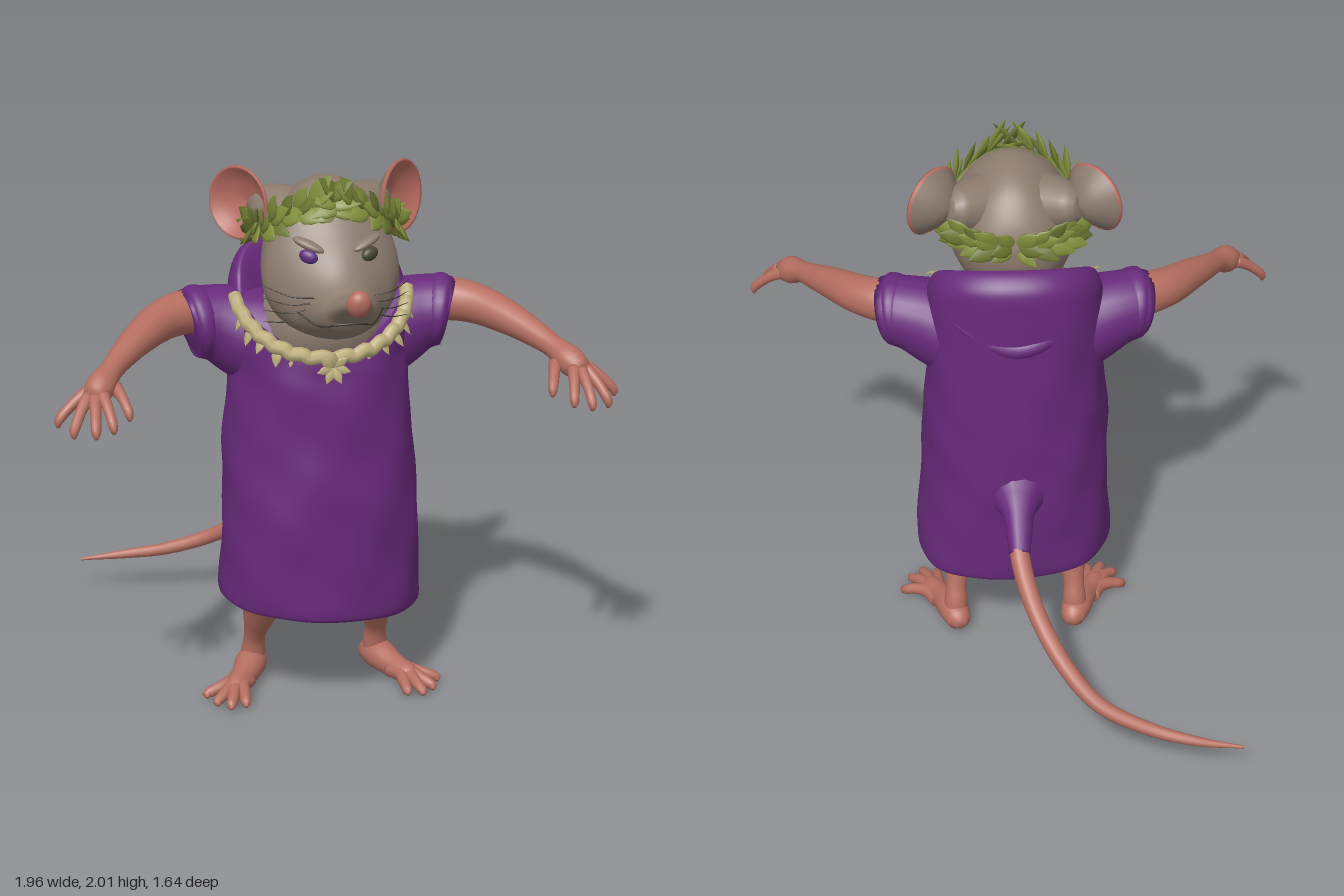
import * as THREE from 'three';

const V = (x, y, z) => new THREE.Vector3(x, y, z);
const mat = (name, color, double) => {
  const m = new THREE.MeshStandardMaterial({ color });
  m.name = name;
  if (double) m.side = THREE.DoubleSide;
  return m;
};

// Smooth interpolation through rows of numbers, t from 0 to 1
function sample(rows, t) {
  const n = rows.length - 1, f = Math.min(t * n, n - 1e-6), i = Math.floor(f), u = f - i;
  const at = k => rows[Math.max(0, Math.min(n, k))];
  return rows[0].map((_, c) => {
    const [a, b, d, e] = [at(i - 1)[c], at(i)[c], at(i + 1)[c], at(i + 2)[c]];
    return b + 0.5 * u * (d - a + u * (2 * a - 5 * b + 4 * d - e + u * (3 * (b - d) + e - a)));
  });
}

// Skin over equal rings of points, optionally closed at either end
function loft(rings, capStart, capEnd) {
  const n = rings[0].length, pos = [], idx = [];
  rings.forEach(r => r.forEach(p => pos.push(p.x, p.y, p.z)));
  for (let i = 0; i < rings.length - 1; i++) for (let j = 0; j < n; j++) {
    const a = i * n + j, b = i * n + (j + 1) % n;
    idx.push(a, b, a + n, b, b + n, a + n);
  }
  const cap = (i, flip) => {
    const c = rings[i].reduce((s, p) => s.add(p), V(0, 0, 0)).divideScalar(n), k = pos.length / 3;
    pos.push(c.x, c.y, c.z);
    for (let j = 0; j < n; j++) {
      const a = i * n + j, b = i * n + (j + 1) % n;
      flip ? idx.push(k, b, a) : idx.push(k, a, b);
    }
  };
  if (capStart) cap(0, true);
  if (capEnd) cap(rings.length - 1, false);
  const g = new THREE.BufferGeometry();
  g.setAttribute('position', new THREE.Float32BufferAttribute(pos, 3));
  g.setIndex(idx);
  g.computeVertexNormals();
  return g;
}

// Limb along points [x, y, z, radius]; s mirrors it in x
function limb(rows, s = 1, sides = 14, steps = 24, open = false) {
  const curve = new THREE.CatmullRomCurve3(rows.map(r => V(r[0] * s, r[1], r[2])));
  const fr = curve.computeFrenetFrames(steps);
  const ts = [...Array(steps + 1).keys()];
  const rings = ts.map(i => {
    const u = curve.getUtoTmapping(i / steps), c = curve.getPoint(u), r = sample(rows, u)[3];
    return [...Array(sides).keys()].map(j => {
      const a = j / sides * Math.PI * 2;
      return c.clone().addScaledVector(fr.normals[i], r * Math.cos(a)).addScaledVector(fr.binormals[i], r * Math.sin(a));
    });
  });
  return loft(rings, !open, !open);
}

// Robe rows: y, half width, front z, back z, collar rise
const ROBE = [[.36, .355, .455, -.10, 0], [.39, .366, .472, -.12, 0], [.55, .362, .478, -.13, 0], [.8, .348, .487, -.14, 0],
  [1.0, .34, .472, -.14, 0], [1.2, .324, .467, -.14, 0], [1.33, .322, .457, -.135, .04], [1.45, .322, .447, -.128, .10],
  [1.51, .313, .437, -.115, .15], [1.54, .288, .42, -.055, .17], [1.52, .255, .385, -.02, .16], [1.44, .19, .32, .05, .05]];
function robePoint(t, a) {
  const [y, rx, zf, zb, rise] = sample(ROBE, t), c = Math.cos(a), s = Math.sin(a);
  const box = v => Math.sign(v) * Math.pow(Math.abs(v), .9);
  const fade = Math.max(0, Math.min(1, (.72 - t) * 6));
  const k = 1 + fade * (.012 * Math.sin(3 * a + 6 * y) + .009 * Math.sin(8 * a - 11 * y) + .006 * Math.sin(5 * a + 23 * y));
  const x = rx * box(s) * k;
  return V(x, y + rise * (c > 0 ? -c : Math.pow(-c, .6)) - .07 * x * Math.max(0, 1 - t * 2),
    (zf + zb) / 2 + (zf - zb) / 2 * box(c) * k);
}

// Head rows: z, top y, bottom y, half width; the snout dips and turns slightly left
const HEAD = [[.05, 1.73, 1.66, .05], [.08, 1.82, 1.58, .13], [.15, 1.91, 1.50, .185], [.25, 1.96, 1.44, .215], [.35, 1.97, 1.42, .232],
  [.43, 1.92, 1.43, .234], [.5, 1.83, 1.44, .195], [.55, 1.75, 1.455, .148], [.6, 1.695, 1.475, .116], [.65, 1.663, 1.51, .094],
  [.68, 1.654, 1.55, .078], [.73, 1.665, 1.59, .058], [.77, 1.678, 1.615, .042]];
function headPoint(t, a) {
  const [z, top, bot, rx] = sample(HEAD, t), s = Math.sin(a);
  return V(rx * Math.cos(a) * (1 - .13 * s) + Math.max(0, z - .45) * .09, (top + bot) / 2 + (top - bot) / 2 * s, z);
}

export function createModel() {
  const root = new THREE.Group();
  root.name = 'ratInRobe';
  const robe = mat('purpleCloth', 0x682a7b, true), skin = mat('pinkSkin', 0xb56e60), fur = mat('greyFur', 0x8c7b6e, true);
  const green = mat('laurelGreen', 0x7f8c3a), olive = mat('darkLaurel', 0x69752f), cream = mat('creamTrim', 0xbcae7c);
  const dark = mat('darkHair', 0x3a332c), earPink = mat('earPink', 0xb56a60, true), violet = mat('violetEye', 0x5f2f80), hazel = mat('hazelEye', 0x4a4632);
  const add = (name, geo, m, parent = root) => {
    const mesh = new THREE.Mesh(geo, m);
    mesh.name = name;
    parent.add(mesh);
    return mesh;
  };
  const group = name => { const g = new THREE.Group(); g.name = name; root.add(g); return g; };
  const ball = (name, m, p, x, y, z) => {
    const b = add(name, new THREE.SphereGeometry(1, 24, 16), m);
    b.position.copy(p);
    b.scale.set(x, y, z);
    return b;
  };
  let seed = 7;
  const rand = () => (seed = (seed * 16807) % 2147483647) / 2147483647;

  // Robe with raised collar and draped hood
  const N = 72, R = 90;
  add('robe', loft([...Array(R + 1).keys()].map(i => [...Array(N).keys()].map(j => robePoint(i / R, j / N * Math.PI * 2))), false, true), robe);
  add('hoodFold', limb([[.28, 1.57, .06, .02], [.2, 1.5, -.04, .034], [0, 1.42, -.107, .034], [-.2, 1.5, -.04, .034], [-.28, 1.57, .06, .02]]), robe);

  // Neck and head
  ball('neck', fur, V(0, 1.42, .2), .235, .2, .205);
  add('head', loft([...Array(61).keys()].map(i => [...Array(40).keys()].map(j => headPoint(i / 60, j / 40 * Math.PI * 2))), true, true), fur);
  ball('nose', skin, V(.03, 1.645, .772), .043, .05, .036).rotation.x = .35;
  add('mouth', new THREE.TubeGeometry(new THREE.CatmullRomCurve3(
    [[.58, -.3], [.7, -.6], [.8, -1], [.83, -1.57], [.8, -2.14], [.7, -2.54], [.58, -2.84]].map(p => headPoint(...p))), 40, .004, 6), dark);

  // Leaf profile shared by wreath and trim
  const leafGeo = new THREE.LatheGeometry([[0, 0], [.014, .015], [.025, .045], [.02, .07], [0, .105]].map(p => new THREE.Vector2(...p)), 10);
  const leaf = (parent, m, p, dir, out, size) => {
    const y = dir.clone().normalize(), x = y.clone().cross(out).normalize(), z = x.clone().cross(y);
    const l = add('leaf', leafGeo, m, parent);
    l.quaternion.setFromRotationMatrix(new THREE.Matrix4().makeBasis(x, y, z));
    l.position.copy(p);
    l.scale.set(size * 1.15, size, size * .35);
  };

  // Laurel wreath, broad leaves pointing forward on both sides
  const wreath = group('laurelWreath');
  const ringPoint = a => V(.235 * Math.sin(a), 1.785 + (Math.cos(a) > 0 ? .125 * Math.cos(a) ** 2 : .045 * Math.cos(a)), .26 + .185 * Math.cos(a));
  const band = [...Array(24).keys()].map(i => ringPoint(i / 24 * Math.PI * 2));
  add('wreathStem', new THREE.TubeGeometry(new THREE.CatmullRomCurve3(band, true), 60, .015, 6, true), olive, wreath);
  for (const s of [-1, 1]) for (let i = 0; i < 15; i++) for (const lift of [-1, 0, 1]) {
    const a = s * (Math.PI - i / 14 * 3.0), p = ringPoint(a), out = p.clone().sub(V(0, 1.7, .25)).normalize();
    const front = Math.max(0, Math.cos(a));
    const dir = ringPoint(a - s * .1).sub(p).normalize().addScaledVector(V(0, 1, 0), lift * .75 - front * .2 + (rand() - .5) * .5)
      .addScaledVector(out, .2 + rand() * .4);
    leaf(wreath, (i + lift) % 3 ? green : olive, p.addScaledVector(out, .01), dir, out, .95 + front * .15 + rand() * .25);
  }

  // Ragged cream collar trim with a pendant
  const trim = group('collarTrim');
  const edge = a => robePoint(.775, a).add(V(Math.sin(a) * .008, .01 - .025 * Math.cos(a) ** 2, Math.cos(a) * .01));
  add('trimBand', new THREE.TubeGeometry(new THREE.CatmullRomCurve3([...Array(41).keys()].map(i =>
    edge((i / 40 - .5) * 2.9).add(V(0, .006 * Math.sin(i * 2.1), 0)))), 100, .026, 8), cream, trim);
  for (let i = 0; i < 15; i++) {
    const a = (i / 14 - .5) * 2.8, p = edge(a), out = V(Math.sin(a), .25, Math.cos(a)).normalize();
    leaf(trim, cream, p, V(Math.sin(a) * .5 + rand() * .4 - .2, -.8, .15), out, .5 + rand() * .2);
  }
  for (let i = 0; i < 7; i++) {
    const a = i / 7 * Math.PI * 2;
    leaf(trim, cream, V(0, 1.325, .468), V(Math.sin(a), Math.cos(a), .2), V(0, 0, 1), .6);
  }

  for (const s of [-1, 1]) {
    // Eyes, brows and cheek whiskers
    const eye = ball('eye', s < 0 ? violet : hazel, V(s * .105 + .008, 1.745, .525), .034, .024, .02);
    eye.rotation.set(0, s * .5, s * .3);
    const brow = ball('brow', fur, V(s * .1 + .005, 1.782, .51), .06, .016, .024);
    brow.rotation.set(0, s * .5, s * .35);
    for (let i = 0; i < 4; i++) {
      const y = 1.62 - i * .02;
      add('whisker', limb([[.09, y, .6 - i * .01, .0025], [.17, y + .01 - i * .012, .6 - i * .01, .0025], [.25, y + .03 - i * .025, .53 - i * .01, .001]], s, 5, 10), dark);
    }

    // Cupped ear on a broad tapering root
    add('earRoot', limb([[.08, 1.8, .27, .12], [.15, 1.825, .215, .1], [.21, 1.845, .165, .07], [.235, 1.852, .15, .04]], s), fur);
    const ear = group('ear');
    const cup = pts => new THREE.LatheGeometry(pts.map(p => new THREE.Vector2(...p)), 32);
    add('earBack', cup([[0, -.085], [.045, -.075], [.09, -.042], [.128, 0]]), fur, ear);
    add('earInside', cup([[0, -.045], [.06, -.034], [.1, -.012], [.12, .005], [.127, .008], [.131, 0], [.125, -.008]]), earPink, ear);
    ear.quaternion.setFromUnitVectors(V(0, 1, 0), V(s * .74, .06, .67).normalize());
    ear.position.set(s * .288, 1.857, .2);

    // Sleeve with rolled cuff
    add('sleeve', limb([[.13, 1.32, .155, .2], [.27, 1.375, .15, .165], [.37, 1.412, .155, .137], [.45, 1.422, .17, .125], [.472, 1.418, .175, .116], [.44, 1.425, .168, .1]], s, 24, 30, true), robe);
    add('cuff', limb([[.4, 1.425, .163, .118], [.415, 1.424, .166, .131], [.44, 1.42, .17, .133], [.46, 1.416, .173, .115]], s, 24, 12, true), robe);

    // Arm, palm and fingers
    add('arm', limb([[.32, 1.44, .14, .08], [.45, 1.46, .16, .08], [.55, 1.455, .215, .073], [.65, 1.43, .33, .06], [.73, 1.395, .44, .046], [.775, 1.37, .51, .04], [.815, 1.34, .57, .052], [.845, 1.31, .615, .04]], s, 18, 32), skin);
    const fingers = [[.765, 1.33, .56, .73, 1.245, .67], [.815, 1.325, .62, .79, 1.225, .735], [.84, 1.32, .625, .85, 1.215, .75],
      [.86, 1.32, .61, .92, 1.205, .70], [.85, 1.33, .57, .965, 1.215, .61]];
    for (const [x, y, z, X, Y, Z] of fingers)
      add('finger', limb([[x, y, z, .024], [(x + X) / 2, (y + Y) / 2 + .022, (z + Z) / 2, .019], [X, Y + .02, Z, .016], [X, Y, Z, .006]], s, 10, 12), skin);

    // Leg, foot and toes
    add('leg', limb([[.19, .56, .19, .11], [.2, .4, .19, .095], [.215, .29, .155, .065], [.228, .18, .108, .04], [.23, .11, .085, .045], [.235, .06, .08, .045]], s, 18), skin);
    add('foot', limb([[.215, .048, .005, .02], [.22, .05, .03, .045], [.243, .06, .1, .058], [.285, .047, .19, .046], [.325, .04, .26, .039], [.34, .035, .29, .025]], s, 16), skin);
    const toes = [[.335, .22, .43, .275], [.34, .26, .40, .345], [.325, .27, .355, .385], [.295, .25, .3, .375]];
    for (const [x, z, X, Z] of toes)
      add('toe', limb([[x - .03, .04, z - .05, .03], [x, .042, z, .028], [(x + X) / 2, .036, (z + Z) / 2, .022], [X, .02, Z - .012, .018], [X, .012, Z, .007]], s, 10, 14), skin);
  }

  // Tail and the cloth gathered round its root
  add('tailSleeve', limb([[0, .77, -.08, .13], [0, .755, -.13, .095], [0, .735, -.18, .06], [0, .69, -.245, .047], [0, .645, -.3, .039]]), robe);
  add('tail', limb([[0, .7, -.24, .036], [0, .64, -.31, .036], [-.05, .5, -.45, .034], [-.15, .36, -.6, .032], [-.27, .255, -.7, .029],
    [-.45, .185, -.76, .025], [-.62, .155, -.8, .018], [-.79, .137, -.82, .006]], 1, 14, 48), skin);
  return root;
}
